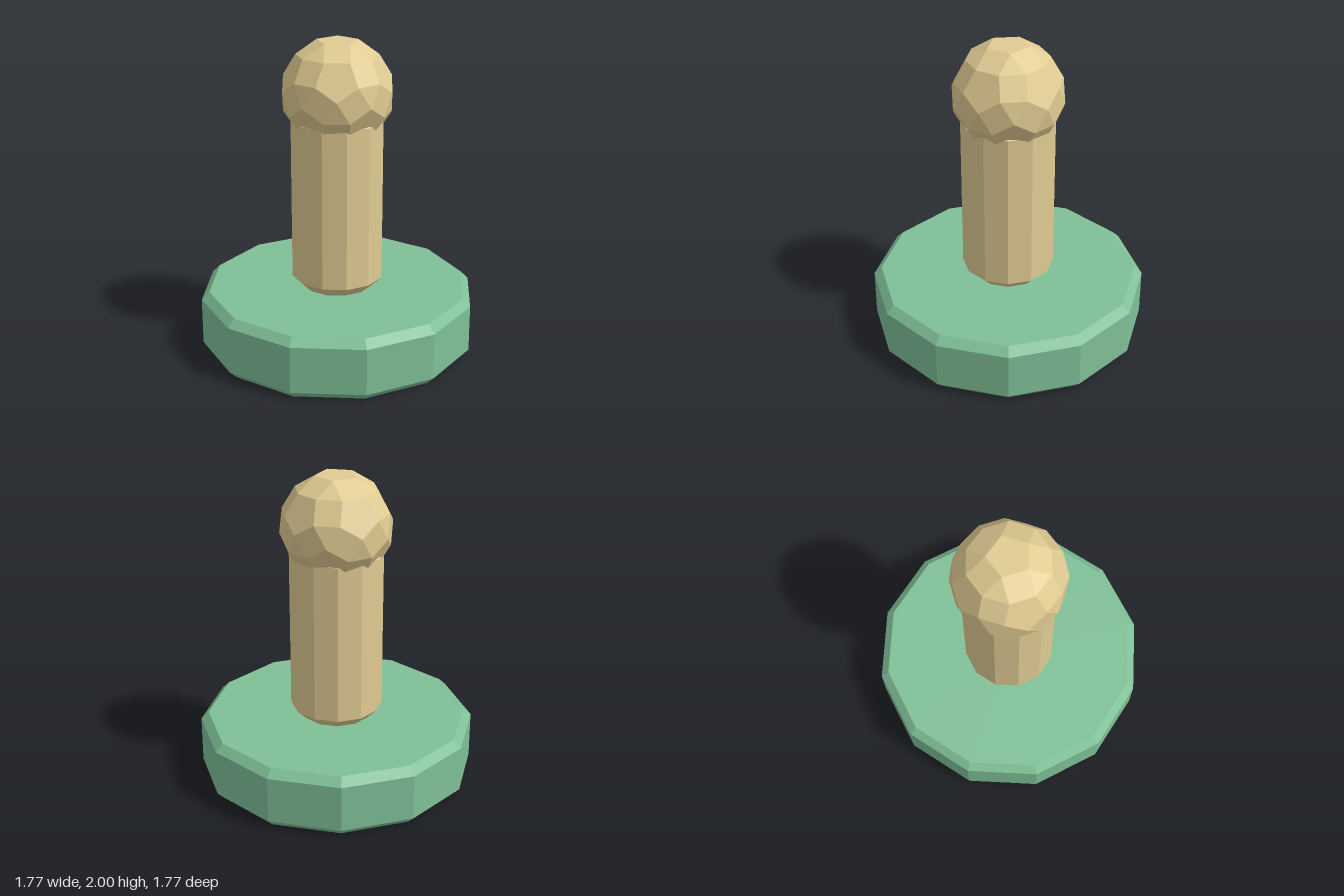
import * as THREE from 'three';
import { ConvexGeometry } from 'three/addons/geometries/ConvexGeometry.js';

const green = new THREE.MeshStandardMaterial({ color: 0x7fc097 });
green.name = 'soft green';
const wood = new THREE.MeshStandardMaterial({ color: 0xe0cb92 });
wood.name = 'pale wood';

// Twelve-sided solid with chamfered rims and flat faces
function chamferedPrism(radius, bottom, top, chamfer) {
  const profile = [
    [0, bottom], [radius - chamfer, bottom], [radius, bottom + chamfer],
    [radius, top - chamfer], [radius - chamfer, top], [0, top],
  ].map(([r, y]) => new THREE.Vector2(r, y));
  const geometry = new THREE.LatheGeometry(profile, 12).toNonIndexed();
  geometry.computeVertexNormals();
  return geometry;
}

// Dodecahedron with bevelled edges: twelve pentagons joined by squares and triangles
function bevelledBall(faceDistance, faceRadius) {
  const axes = [new THREE.Vector3(0, 1, 0), new THREE.Vector3(0, -1, 0)];
  const y = 1 / Math.sqrt(5);
  for (let i = 0; i < 10; i++) {
    const a = (i * Math.PI) / 5;
    axes.push(new THREE.Vector3(2 * y * Math.cos(a), i % 2 ? -y : y, 2 * y * Math.sin(a)));
  }
  const adjacent = (a, b) => Math.abs(a.dot(b) - y) < 0.01;
  const points = [];
  for (const axis of axes) {
    const ring = axes.filter((b) => adjacent(axis, b));
    ring.forEach((b, i) => ring.slice(i + 1).forEach((c) => {
      if (!adjacent(b, c)) return;
      const corner = b.clone().add(c).projectOnPlane(axis).setLength(faceRadius);
      points.push(corner.addScaledVector(axis, faceDistance));
    }));
  }
  return new ConvexGeometry(points);
}

export function createModel() {
  const model = new THREE.Group();
  const add = (name, geometry, material) => {
    const mesh = new THREE.Mesh(geometry, material);
    mesh.name = name;
    model.add(mesh);
    return mesh;
  };
  add('base', chamferedPrism(0.885, 0, 0.4, 0.05), green);
  add('shaft', chamferedPrism(0.295, 0.4, 1.58, 0.07), wood);
  add('head', bevelledBall(0.327, 0.134), wood).position.y = 1.673;
  return model;
}
